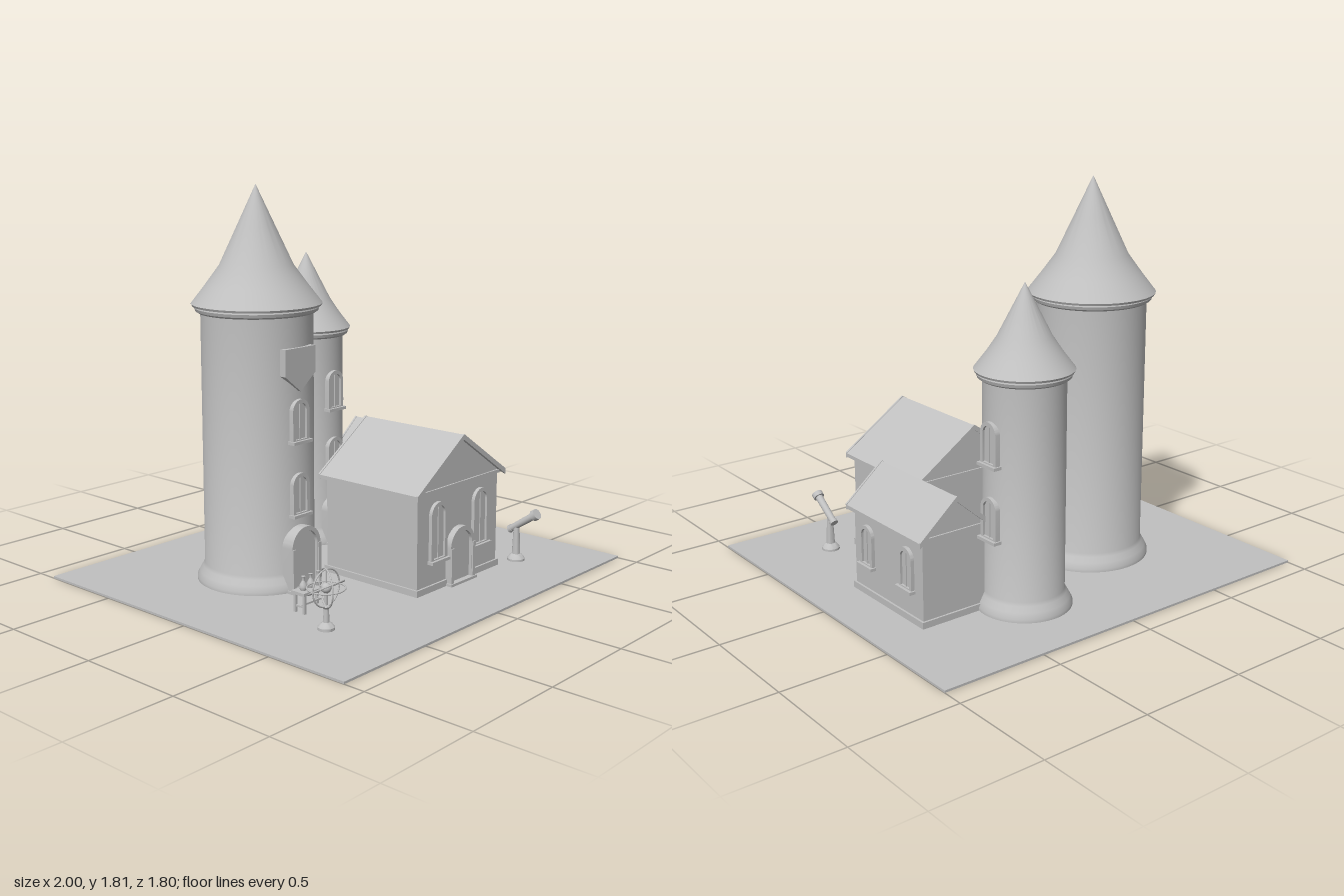
import * as THREE from 'three';
import { toCreasedNormals } from 'three/addons/utils/BufferGeometryUtils.js';

const stone = new THREE.MeshStandardMaterial({ color: 0xc0c0c0 });
stone.name = 'stone grey';

function add(parent, name, geo, x = 0, y = 0, z = 0) {
  const m = new THREE.Mesh(geo, stone);
  m.name = name;
  m.position.set(x, y, z);
  parent.add(m);
  return m;
}
function group(parent, name, x = 0, y = 0, z = 0, ry = 0) {
  const g = new THREE.Group();
  g.name = name;
  g.position.set(x, y, z);
  g.rotation.y = ry;
  parent.add(g);
  return g;
}
const box = (w, h, d) => new THREE.BoxGeometry(w, h, d);
const cyl = (a, b, h, n = 24) => new THREE.CylinderGeometry(a, b, h, n);
const lathe = (pts, n = 64) => toCreasedNormals(
  new THREE.LatheGeometry(pts.map(([r, y]) => new THREE.Vector2(r, y)), n), 0.55);
const polygon = pts => new THREE.Shape(pts.map(([x, y]) => new THREE.Vector2(x, y)));
const extrude = (shape, depth) => toCreasedNormals(
  new THREE.ExtrudeGeometry(shape, { depth, bevelEnabled: false, curveSegments: 16 }), 0.5);

// Round-headed outline standing on y = y0
function arch(w, h, y0 = 0, Type = THREE.Shape) {
  const s = new Type();
  s.moveTo(-w / 2, y0);
  s.lineTo(w / 2, y0);
  s.lineTo(w / 2, h - w / 2);
  s.absarc(0, h - w / 2, w / 2, 0, Math.PI, false);
  s.lineTo(-w / 2, y0);
  return s;
}

// Arched window facing local +z, with frame, pane, mullion and sill
function addWindow(parent, x, y, z, w, h, ry = 0) {
  const g = group(parent, 'archedWindow', x, y, z, ry);
  const frame = arch(w, h);
  frame.holes.push(arch(w - 0.034, h - 0.017, 0.015, THREE.Path));
  add(g, 'windowFrame', extrude(frame, 0.035), 0, 0, -0.018);
  add(g, 'windowPane', extrude(arch(w - 0.03, h - 0.015), 0.02), 0, 0, -0.014);
  add(g, 'mullion', box(0.005, h - 0.03, 0.01), 0, h / 2, 0.006);
  add(g, 'windowSill', box(w + 0.015, 0.014, 0.045), 0, 0.003, 0.008);
}

// Arched door with jambs and a doorstep
function addDoor(parent, x, z, w, h, depth) {
  const g = group(parent, 'archedDoor', x, 0.01, z);
  const frame = arch(w, h);
  frame.holes.push(arch(w - 0.04, h - 0.02, 0.002, THREE.Path));
  add(g, 'doorFrame', extrude(frame, depth));
  add(g, 'doorPanel', extrude(arch(w - 0.036, h - 0.018), depth - 0.016));
  for (const s of [-1, 1])
    add(g, 'doorJamb', box(0.018, h - w / 2, 0.012), s * (w / 2 - 0.009), (h - w / 2) / 2, depth);
  add(g, 'doorStep', box(w + 0.015, 0.012, 0.05), 0, 0.006, depth - 0.013);
}

// Round tower with flared foot, moulded cornice and bell-cast roof
function addTower(parent, name, x, z, r, top, roof) {
  const g = group(parent, name, x, 0, z);
  add(g, 'towerWall', lathe([[0, 0.01], [r + 0.035, 0.01], [r + 0.035, 0.025], [r + 0.022, 0.05],
    [r + 0.008, 0.075], [r, 0.09], [r, top]]));
  add(g, 'towerCornice', lathe([[r - 0.01, top - 0.03], [r + 0.01, top - 0.03], [r + 0.022, top - 0.022],
    [r + 0.027, top - 0.008], [r + 0.022, top + 0.006], [r - 0.01, top + 0.006]]));
  add(g, 'towerRoof', lathe([[0, top], [roof[0][0] - 0.005, top], ...roof]));
  return g;
}

// Gabled house: plinth, walls, cornice, pitched roof and bargeboards
function addHouse(parent, name, x0, x1, z0, z1, eave, ridge, over) {
  const w = x1 - x0, d = z1 - z0, hw = w / 2, t = 0.018;
  const g = group(parent, name, (x0 + x1) / 2, 0, (z0 + z1) / 2);
  const slope = (ridge - eave) / (hw + over);
  const wallTop = ridge - t - slope * hw;
  add(g, 'houseWalls', extrude(polygon([[-hw, 0.01], [hw, 0.01], [hw, wallTop], [0, ridge - t],
    [-hw, wallTop]]), d), 0, 0, -d / 2);
  add(g, 'plinth', box(w + 0.02, 0.03, d + 0.02), 0, 0.025, 0);
  add(g, 'cornice', box(w + 0.016, 0.016, d + 0.016), 0, wallTop - 0.01, 0);
  const chevron = thick => {
    const e = hw + over;
    return polygon([[-e, eave - thick], [0, ridge - thick], [e, eave - thick], [e, eave],
      [0, ridge], [-e, eave]]);
  };
  add(g, 'pitchedRoof', extrude(chevron(t), d + 0.04), 0, 0, -d / 2 - 0.02);
  for (const s of [-1, 1])
    add(g, 'bargeboard', extrude(chevron(t + 0.008), 0.01), 0, 0.003, s * (d / 2 + 0.022) - 0.005);
  return g;
}

export function createModel() {
  const root = new THREE.Group();
  root.name = 'towerHouse';
  add(root, 'ground', box(2, 0.01, 1.8), 0, 0.005, 0);

  // Towers
  const big = addTower(root, 'tallTower', -0.35, -0.2, 0.253, 1.275,
    [[0.294, 1.285], [0.232, 1.365], [0.166, 1.455], [0.085, 1.628], [0, 1.81]]);
  const small = addTower(root, 'shortTower', 0.265, -0.475, 0.18, 1.072,
    [[0.217, 1.082], [0.165, 1.15], [0.118, 1.22], [0.06, 1.333], [0, 1.45]]);
  for (const [tower, r] of [[big, 0.253], [small, 0.18]])
    for (const y of [0.35, 0.685]) {
      addWindow(tower, 0, y, r, 0.104, 0.195);
      addWindow(tower, r, y, 0, 0.104, 0.195, Math.PI / 2);
    }
  addDoor(big, 0, 0.232, 0.182, 0.295, 0.066);
  addDoor(small, 0, 0.16, 0.145, 0.24, 0.062);

  // Shield plaque on the tall tower
  add(big, 'shieldPlaque', extrude(polygon([[-0.095, 0.99], [0, 0.915], [0.095, 0.99],
    [0.095, 1.11], [-0.095, 1.11]]), 0.035), 0, 0, 0.232);

  // Houses
  const hall = addHouse(root, 'mainHouse', -0.1, 0.495, -0.005, 0.53, 0.478, 0.7, 0.031);
  for (const s of [-1, 1]) addWindow(hall, s * 0.158, 0.145, 0.2675, 0.115, 0.275);
  addDoor(hall, 0, 0.255, 0.178, 0.265, 0.042);
  const annex = addHouse(root, 'annex', 0.435, 0.76, -0.415, 0.11, 0.408, 0.572, 0.029);
  for (const z of [0.155, -0.15]) addWindow(annex, 0.1625, 0.15, z, 0.098, 0.195, Math.PI / 2);

  // Armillary sphere
  const globe = group(root, 'armillarySphere', -0.65, 0, 0.49);
  add(globe, 'globeStand', lathe([[0, 0.01], [0.037, 0.01], [0.037, 0.022], [0.026, 0.035],
    [0.014, 0.042], [0.011, 0.1], [0.018, 0.11], [0, 0.115]], 24));
  const turns = [[0, 0, 0], [Math.PI / 2, 0, 0], [0, 1.08, 0], [1.05, 0, 0.2]];
  for (const [a, b, c] of turns)
    add(globe, 'ring', new THREE.TorusGeometry(0.081, 0.0035, 8, 40), 0, 0.19, 0).rotation.set(a, b, c);
  add(globe, 'innerGlobe', new THREE.SphereGeometry(0.022, 20, 14), 0, 0.19, 0);
  add(globe, 'axis', cyl(0.003, 0.003, 0.16, 8), 0, 0.19, 0);

  // Table with flasks
  const table = group(root, 'flaskTable', -0.517, 0, 0.278);
  add(table, 'tableTop', box(0.165, 0.014, 0.075), 0, 0.1, 0);
  for (const x of [-0.068, 0.068]) {
    for (const z of [-0.026, 0.026]) add(table, 'tableLeg', box(0.012, 0.085, 0.012), x, 0.052, z);
    add(table, 'sideStretcher', box(0.008, 0.008, 0.052), x, 0.04, 0);
  }
  add(table, 'longStretcher', box(0.136, 0.008, 0.008), 0, 0.04, 0);
  for (const x of [-0.047, 0, 0.047])
    add(table, 'flask', lathe([[0, 0], [0.013, 0], [0.017, 0.012], [0.015, 0.026], [0.006, 0.042],
      [0.006, 0.056], [0.009, 0.062], [0, 0.063]], 20), x, 0.107, 0);

  // Telescope
  const scope = group(root, 'telescope', 0.625, 0, 0.56);
  add(scope, 'telescopeStand', lathe([[0, 0.01], [0.042, 0.01], [0.042, 0.02], [0.03, 0.036],
    [0.02, 0.042], [0.014, 0.18], [0, 0.185]], 24));
  const barrel = group(scope, 'telescopeBarrel', 0, 0.205, 0.035);
  barrel.rotation.x = 0.97;
  add(barrel, 'tube', cyl(0.018, 0.016, 0.165));
  add(barrel, 'lensRim', cyl(0.026, 0.026, 0.024), 0, 0.084, 0);
  add(barrel, 'eyepiece', cyl(0.019, 0.019, 0.016), 0, -0.083, 0);

  return root;
}
